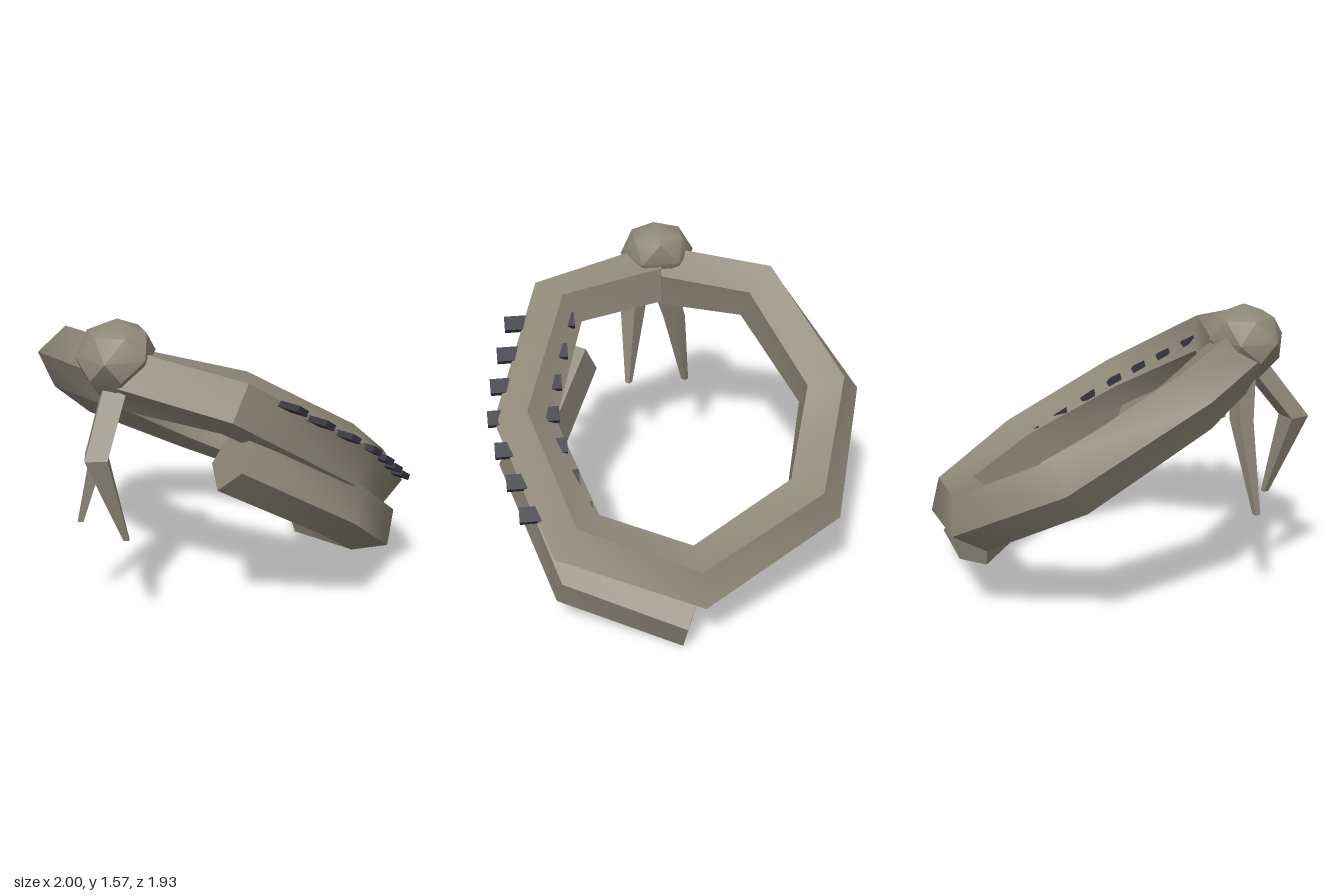
import * as THREE from 'three';
import { toCreasedNormals } from 'three/addons/utils/BufferGeometryUtils.js';

const TILT = THREE.MathUtils.degToRad(33);
const V = (x, y, z) => new THREE.Vector3(x, y, z);

// Skin a closed, capped solid over a list of equal-sized rings of points
function loft(rings, crease = 0.9) {
  const n = rings[0].length, pos = [], index = [];
  rings.flat().forEach((p) => pos.push(p.x, p.y, p.z));
  for (let i = 0; i < rings.length - 1; i++) {
    for (let j = 0; j < n; j++) {
      const a = i * n + j, b = i * n + (j + 1) % n;
      index.push(a, a + n, b, b, a + n, b + n);
    }
  }
  [0, rings.length - 1].forEach((i) => {
    const c = rings[i].reduce((s, p) => s.add(p), V(0, 0, 0)).divideScalar(n);
    const ci = pos.length / 3;
    pos.push(c.x, c.y, c.z);
    for (let j = 0; j < n; j++) {
      const a = i * n + j, b = i * n + (j + 1) % n;
      index.push(ci, ...(i === 0 ? [a, b] : [b, a]));
    }
  });
  const g = new THREE.BufferGeometry();
  g.setAttribute('position', new THREE.Float32BufferAttribute(pos, 3));
  g.setIndex(index);
  return toCreasedNormals(g, crease);
}

// Five-sided coil through the given centres; the section twists along the way
function coil(points, radius, twist0, twist1, endTangents) {
  const last = points.length - 1;
  return loft(points.map((p, i) => {
    const c = V(...p);
    const t = V(...points[Math.min(i + 1, last)]).sub(V(...points[Math.max(i - 1, 0)]));
    if (endTangents && (i === 0 || i === last)) t.set(0, 0, 1);
    const out = V(-t.z, 0, t.x).normalize();
    const twist = THREE.MathUtils.lerp(twist0, twist1, i / last);
    return Array.from({ length: 5 }, (_, j) => {
      const a = THREE.MathUtils.degToRad(twist + j * 72);
      return c.clone().addScaledVector(out, radius * Math.cos(a)).add(V(0, radius * Math.sin(a), 0));
    });
  }));
}

// Level ring of points: centre, radius, number of sides, starting angle
function levelRing([x, y, z, r], sides, phase = 0) {
  return Array.from({ length: sides }, (_, j) => {
    const a = phase + (j / sides) * Math.PI * 2;
    return V(x + r * Math.sin(a), y, z + r * Math.cos(a));
  });
}

export function createModel() {
  const root = new THREE.Group();
  root.name = 'coiledCreature';
  const skin = new THREE.MeshStandardMaterial({ color: 0x8e8878 });
  skin.name = 'stoneSkin';
  const dark = new THREE.MeshStandardMaterial({ color: 0x34343f });
  dark.name = 'darkSpine';
  const add = (parent, name, geometry, material) => {
    const m = new THREE.Mesh(geometry, material);
    m.name = name;
    parent.add(m);
    return m;
  };

  // Tilted body: a full ring and a shorter tail arc below it
  const body = new THREE.Group();
  body.name = 'body';
  body.rotation.z = -TILT;
  root.add(body);
  add(body, 'mainRing', coil([
    [-1.24, 0.735, 0], [-1.06, 0.785, 0.56], [-0.39, 0.78, 0.78],
    [0.25, 0.79, 0.57], [0.5, 0.79, 0], [0.14, 0.775, -0.62],
    [-0.466, 0.75, -0.805], [-1.085, 0.765, -0.525], [-1.24, 0.735, 0],
  ], 0.165, 39, -19, true), skin);
  add(body, 'tailArc', coil([
    [-0.88, 0.55, 0.51], [-0.3, 0.55, 0.77], [0.36, 0.56, 0.57], [0.61, 0.56, 0.02],
  ], 0.165, -20, -28, false), skin);

  // Row of dark spines pushed through the front of the ring
  for (let i = -3; i <= 3; i++) {
    const spine = add(root, 'spine', new THREE.BoxGeometry(0.08, 0.03, 0.36), dark);
    const z = [0.78, 0.755, 0.71, 0.66][Math.abs(i)];
    spine.position.set(0.12 + i * 0.145, 0.93 - i * 0.097, z);
    spine.rotation.z = -TILT;
  }

  // Faceted head
  const headRings = [
    [-0.665, 1.575, 0, 0.002], [-0.67, 1.515, 0, 0.145], [-0.68, 1.41, 0, 0.195],
    [-0.7, 1.31, 0, 0.15], [-0.69, 1.2, 0, 0.07],
  ];
  add(root, 'head', loft(headRings.map((r, i) => levelRing(r, 6, i * Math.PI / 6)), 0.6), skin);

  // Two bent fangs, one swung out further than the other
  const fangs = {
    leftFang: [[-0.72, 1.26, 0.03, 0.08], [-0.925, 0.98, 0.105, 0.075], [-0.79, 0.53, 0.155, 0.02]],
    rightFang: [[-0.67, 1.26, -0.02, 0.07], [-0.685, 1.0, -0.095, 0.06], [-0.785, 0.53, -0.17, 0.02]],
  };
  for (const [name, rings] of Object.entries(fangs)) {
    add(root, name, loft(rings.map((r) => levelRing(r, 4)), 0.5), skin);
  }
  return root;
}
